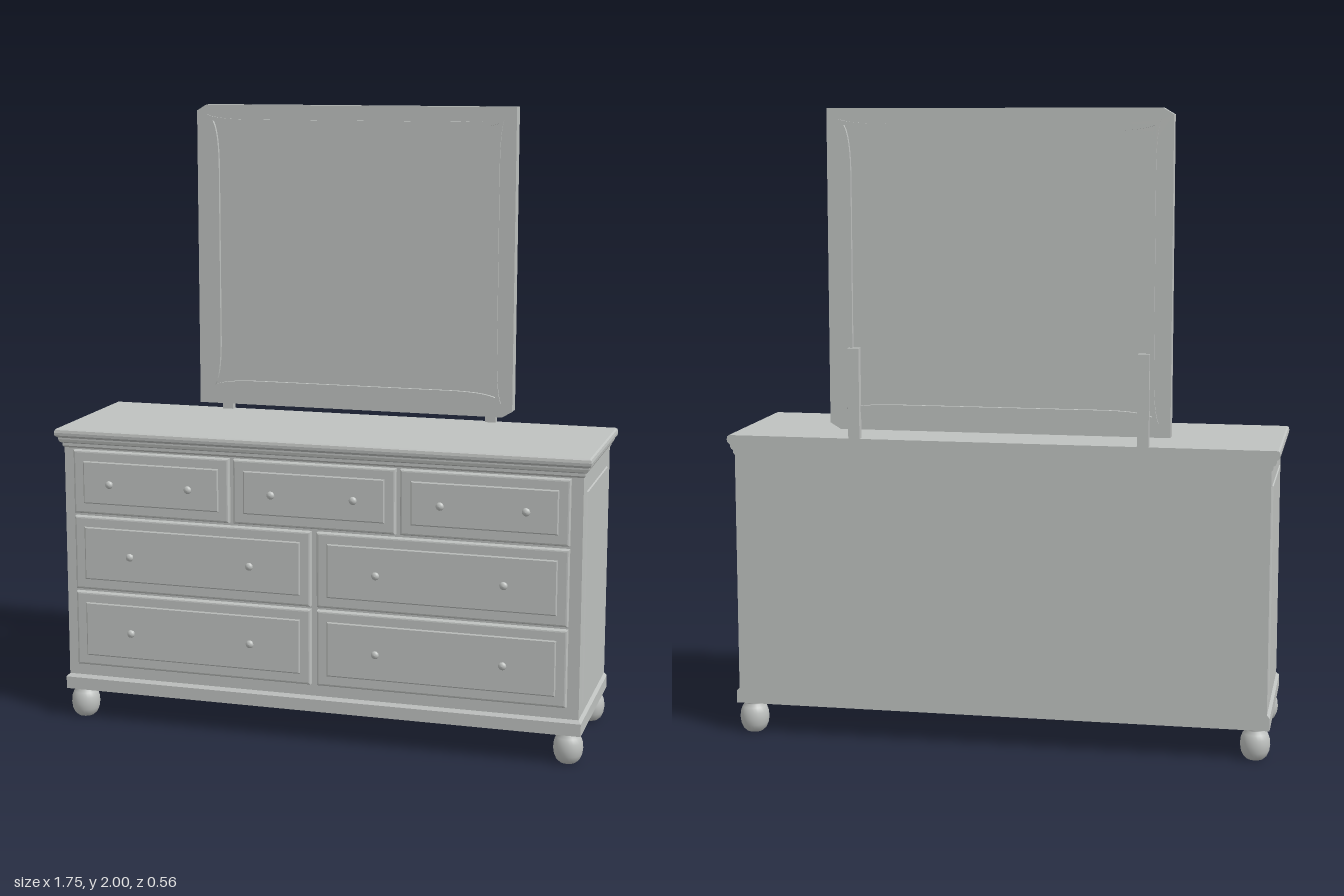
import * as THREE from 'three';

const paint = new THREE.MeshStandardMaterial({ color: 0xbfc2c0 });
paint.name = 'painted wood grey';

function add(parent, geometry, name, x = 0, y = 0, z = 0) {
  const mesh = new THREE.Mesh(geometry, paint);
  mesh.name = name;
  mesh.position.set(x, y, z);
  parent.add(mesh);
  return mesh;
}

// Stacked rectangles [x0, x1, z0, z1, y], from bottom to top, joined and capped
function loft(levels) {
  const pos = [];
  const rings = levels.map(([x0, x1, z0, z1, y]) => [[x0, y, z1], [x1, y, z1], [x1, y, z0], [x0, y, z0]]);
  const quad = (a, b, c, d) => pos.push(...a, ...b, ...c, ...a, ...c, ...d);
  for (let i = 0; i < rings.length - 1; i++) {
    const lo = rings[i], hi = rings[i + 1];
    for (let k = 0; k < 4; k++) {
      const n = (k + 1) % 4;
      quad(lo[k], lo[n], hi[n], hi[k]);
    }
  }
  const first = rings[0], last = rings[rings.length - 1];
  quad(first[3], first[2], first[1], first[0]);
  quad(last[0], last[1], last[2], last[3]);
  const geometry = new THREE.BufferGeometry();
  geometry.setAttribute('position', new THREE.Float32BufferAttribute(pos, 3));
  geometry.computeVertexNormals();
  return geometry;
}

// Slab moulded on the front and sides with a flush back: profile of [half width, front z, y]
const BACK = -0.272;
const moulded = (profile) => loft(profile.map(([hx, z, y]) => [-hx, hx, BACK, z, y]));

// Panel w by h lying flat: profile of [inset, height]
const panel = (w, h, profile) =>
  loft(profile.map(([i, y]) => [-w / 2 + i, w / 2 - i, -h / 2 + i, h / 2 - i, y]));

// Closed outline through corners, each side bowed inwards to the given mid lines
function bowed(path, cx, cy, mx, my) {
  const y0 = 1.507;
  path.moveTo(-cx, y0 - cy);
  const sides = [[0, -1, 1, -1], [1, 0, 1, 1], [0, 1, -1, 1], [-1, 0, -1, -1]];
  for (const [sx, sy, ex, ey] of sides) {
    const flare = 0.16;
    const horizontal = sx === 0;
    const run = horizontal ? ex : ey;
    if (horizontal) {
      path.quadraticCurveTo(-run * (cx - 0.035), y0 + sy * my, -run * (cx - flare), y0 + sy * my);
      path.lineTo(run * (cx - flare), y0 + sy * my);
      path.quadraticCurveTo(run * (cx - 0.035), y0 + sy * my, ex * cx, y0 + ey * cy);
    } else {
      path.quadraticCurveTo(sx * mx, y0 - run * (cy - 0.035), sx * mx, y0 - run * (cy - flare));
      path.lineTo(sx * mx, y0 + run * (cy - flare));
      path.quadraticCurveTo(sx * mx, y0 + run * (cy - 0.035), ex * cx, y0 + ey * cy);
    }
  }
  return path;
}

const extrude = (shape, depth) =>
  new THREE.ExtrudeGeometry(shape, { depth, bevelEnabled: false, curveSegments: 8 });

const lathe = (points, segments) =>
  new THREE.LatheGeometry(points.map(([r, y]) => new THREE.Vector2(r, y)), segments);

function buildCabinet() {
  const cabinet = new THREE.Group();
  cabinet.name = 'cabinet';
  add(cabinet, moulded([[0.847, 0.233, 0.145], [0.847, 0.233, 0.92]]), 'carcass');
  add(cabinet, moulded([[0.856, 0.243, 0.1], [0.856, 0.243, 0.14], [0.847, 0.234, 0.15]]), 'plinth');
  add(cabinet, moulded([
    [0.847, 0.233, 0.912], [0.852, 0.238, 0.918], [0.852, 0.238, 0.927], [0.859, 0.245, 0.931],
    [0.863, 0.247, 0.94], [0.863, 0.247, 0.945], [0.867, 0.25, 0.948], [0.872, 0.256, 0.953],
    [0.873, 0.257, 0.962], [0.871, 0.255, 0.971], [0.866, 0.25, 0.975],
  ]), 'top');

  // Raised panels on both ends
  const endPanel = panel(0.675, 0.39, [[0, 0], [0.004, 0.004]]);
  for (const s of [-1, 1]) {
    const geometry = endPanel.clone().rotateZ(-s * Math.PI / 2);
    add(cabinet, geometry, s > 0 ? 'leftEndPanel' : 'rightEndPanel', s * 0.8465, 0.522, -0.02);
  }

  // Bun feet
  const foot = lathe([[0, 0], [0.026, 0], [0.037, 0.01], [0.044, 0.026], [0.047, 0.046],
    [0.045, 0.066], [0.039, 0.082], [0.031, 0.092], [0.033, 0.096], [0.033, 0.102], [0, 0.102]], 24);
  for (const x of [-0.81, 0.81]) for (const z of [0.192, -0.231]) add(cabinet, foot, 'foot', x, 0, z);
  return cabinet;
}

function buildDrawers() {
  const drawers = new THREE.Group();
  drawers.name = 'drawers';
  const knob = lathe([[0, 0], [0.008, 0], [0.006, 0.004], [0.005, 0.012], [0.011, 0.016],
    [0.013, 0.02], [0.011, 0.025], [0.006, 0.028], [0, 0.029]], 16).rotateX(Math.PI / 2);
  const profile = [[0, 0], [0, 0.013], [0.003, 0.017], [0.007, 0.018], [0.034, 0.018], [0.038, 0.021]];
  // Rows: bottom, top, drawer centres, drawer width, knob offset
  const rows = [
    [0.70, 0.908, [-0.545, 0, 0.545], 0.53, 0.134],
    [0.447, 0.69, [-0.41, 0.41], 0.80, 0.203],
    [0.19, 0.437, [-0.41, 0.41], 0.80, 0.203],
  ];
  for (const [y0, y1, centres, width, offset] of rows) {
    const front = panel(width, y1 - y0, profile).rotateX(Math.PI / 2);
    for (const x of centres) {
      const y = (y0 + y1) / 2;
      add(drawers, front, 'drawerFront', x, y, 0.233);
      for (const s of [-1, 1]) add(drawers, knob, 'knob', x + s * offset, y, 0.25);
    }
  }
  return drawers;
}

function buildMirror() {
  const mirror = new THREE.Group();
  mirror.name = 'mirror';
  // Outer frame with two clipped corners
  const w = 0.537, c = 0.033;
  const outline = new THREE.Shape();
  outline.moveTo(-w, 1.002);
  outline.lineTo(w - c, 1.002);
  outline.lineTo(w, 1.002 + c * 0.6);
  outline.lineTo(w, 2);
  outline.lineTo(-w + c, 2);
  outline.lineTo(-w, 2 - c * 0.6);
  outline.closePath();
  outline.holes.push(bowed(new THREE.Path(), 0.498, 0.458, 0.483, 0.443));
  add(mirror, extrude(outline, 0.047), 'mirrorFrame', 0, 0, -0.25);

  // Raised inner moulding with flared corners
  const ring = bowed(new THREE.Shape(), 0.5, 0.46, 0.485, 0.445);
  ring.holes.push(bowed(new THREE.Path(), 0.482, 0.442, 0.461, 0.424));
  add(mirror, extrude(ring, 0.06), 'mirrorMoulding', 0, 0, -0.257);

  // Glass panel
  const glass = bowed(new THREE.Shape(), 0.484, 0.444, 0.463, 0.426);
  add(mirror, extrude(glass, 0.035), 'mirrorPanel', 0, 0, -0.244);

  // Rear support posts
  for (const x of [-0.455, 0.455]) {
    add(mirror, new THREE.BoxGeometry(0.036, 0.3, 0.025), 'supportPost', x, 1.11, -0.2625);
  }
  return mirror;
}

export function createModel() {
  const model = new THREE.Group();
  model.name = 'dresserWithMirror';
  model.add(buildCabinet(), buildDrawers(), buildMirror());
  return model;
}
